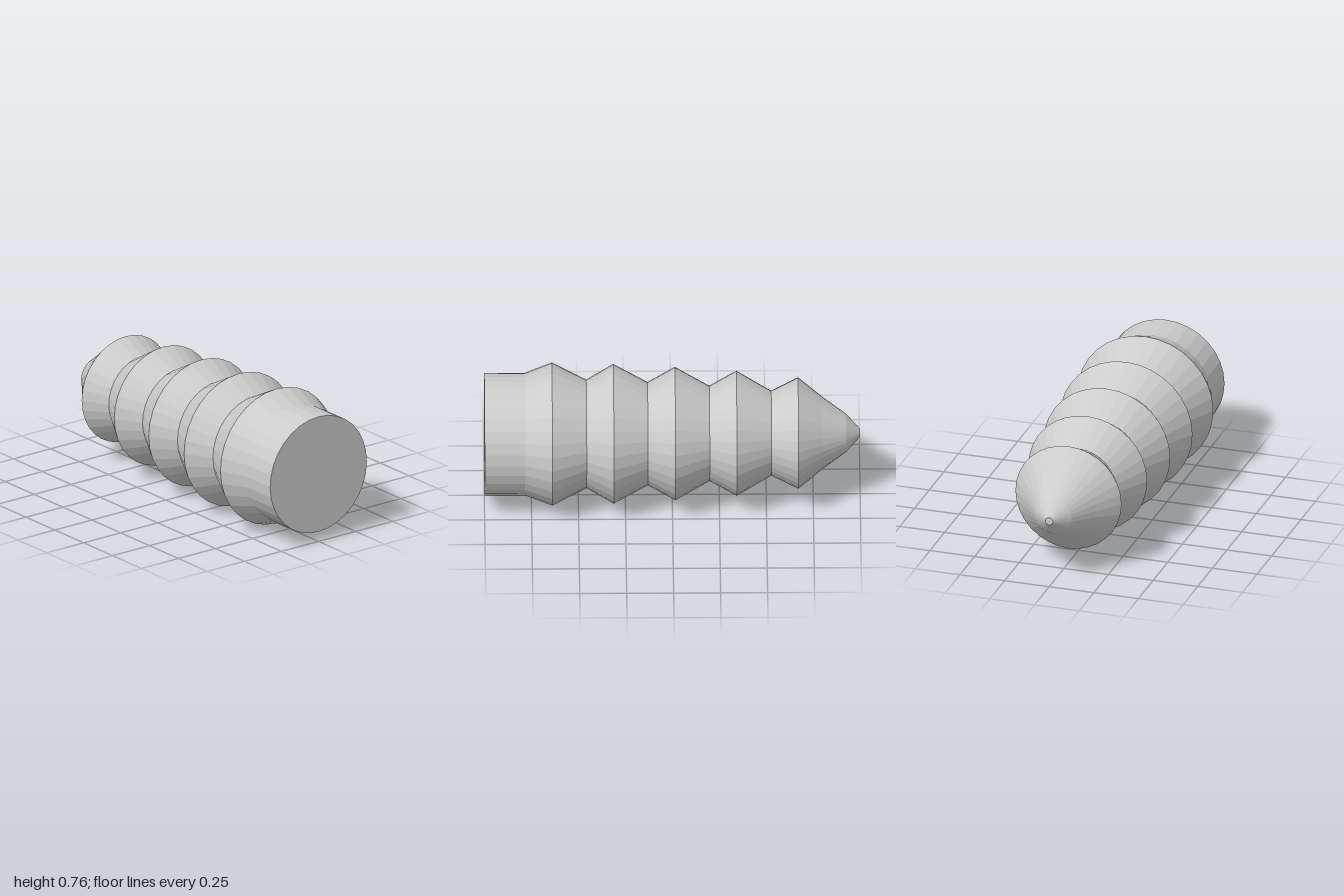
import * as THREE from 'three';

const SIDES = 32;
const AXIS_Y = 0.381;

export function createModel() {
  const group = new THREE.Group();
  group.name = 'barbedPlug';
  const material = new THREE.MeshStandardMaterial({ color: 0xcccccc, flatShading: true });

  // Turned section along z; profile is [radius, z] pairs running front to back.
  function addTurned(name, profile) {
    const points = profile.map(([r, z]) => new THREE.Vector2(r, -z));
    const geometry = new THREE.LatheGeometry(points, SIDES).rotateX(-Math.PI / 2);
    const mesh = new THREE.Mesh(geometry, material);
    mesh.name = name;
    mesh.position.y = AXIS_Y;
    group.add(mesh);
  }

  // Crests and the valleys behind them, shrinking toward the tip
  const crests = [[0.381, 0.64], [0.372, 0.313], [0.355, -0.015], [0.333, -0.342], [0.297, -0.67]];
  const valleys = [[0.289, 0.457], [0.275, 0.131], [0.254, -0.198], [0.226, -0.527]];

  // Plain cylinder with closed front end, flaring into the first crest
  addTurned('shank', [[0, 1], [0.326, 1], [0.326, 0.785], crests[0]]);

  // Barbs: taper down to a valley, then step out to the next crest
  valleys.forEach((valley, i) => addTurned(`barb${i + 1}`, [crests[i], valley, crests[i + 1]]));

  // Nose with a small flat end
  addTurned('tip', [crests[4], [0.192, -0.8], [0.102, -0.925], [0.021, -1], [0, -1]]);

  return group;
}
